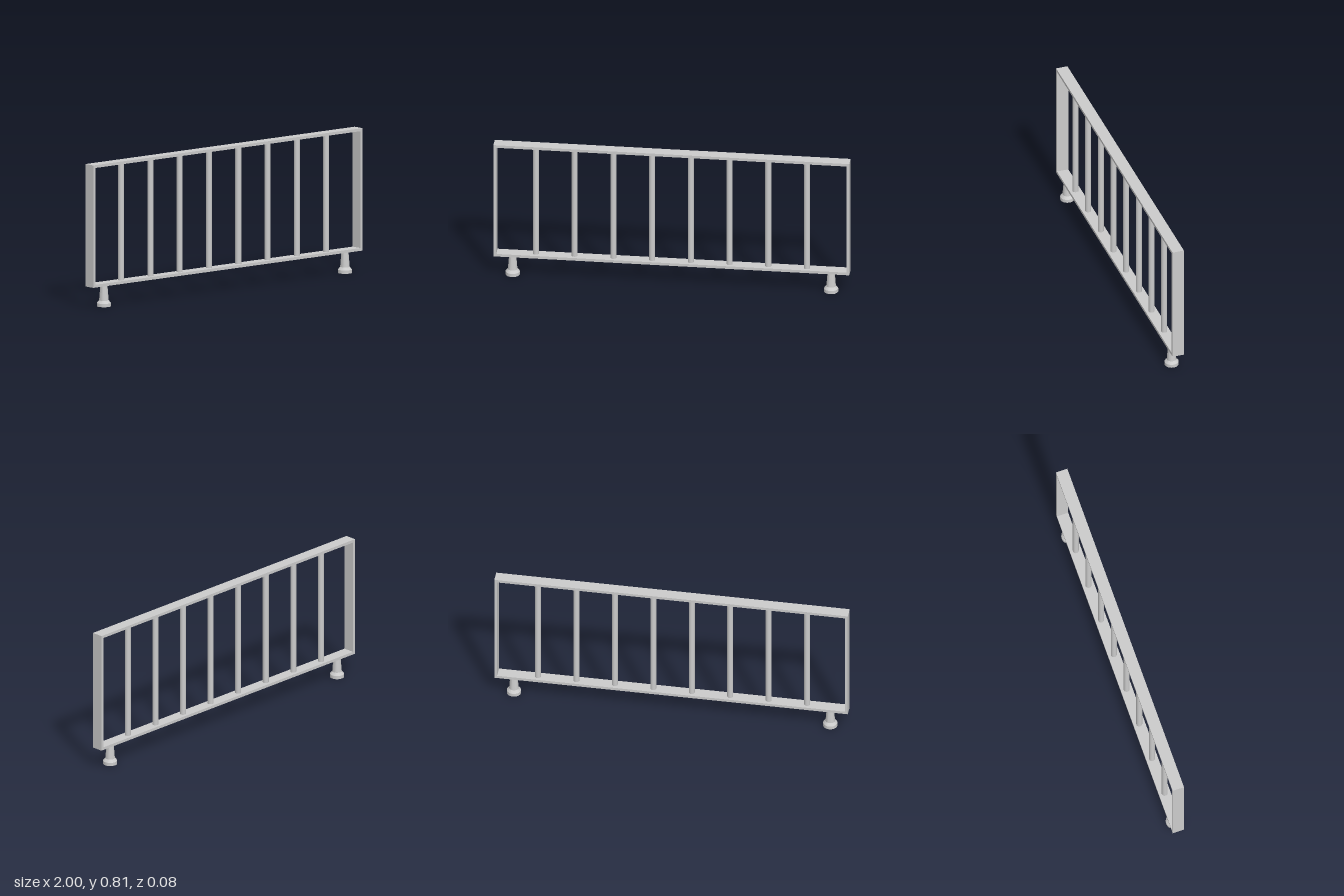
import * as THREE from 'three';
import { toCreasedNormals } from 'three/addons/utils/BufferGeometryUtils.js';

export function createModel() {
  const model = new THREE.Group();
  const grey = new THREE.MeshStandardMaterial({ color: 0xcccccc });

  function add(name, geometry, x, y, z) {
    const mesh = new THREE.Mesh(geometry, grey);
    mesh.name = name;
    mesh.position.set(x, y, z);
    model.add(mesh);
  }

  // Rectangular frame of flat bar, one extruded loop
  const bottom = 0.118, top = 0.81, wall = 0.016, depth = 0.067, midZ = -0.0035;
  const rectangle = (Type, w, y0, y1) => new Type([
    new THREE.Vector2(-w, y0), new THREE.Vector2(w, y0),
    new THREE.Vector2(w, y1), new THREE.Vector2(-w, y1),
  ]);
  const outline = rectangle(THREE.Shape, 1, bottom, top);
  outline.holes.push(rectangle(THREE.Path, 1 - wall, bottom + wall, top - wall));
  add('frame', new THREE.ExtrudeGeometry(outline, { depth, bevelEnabled: false }), 0, 0, midZ - depth / 2);

  // Eight round balusters between the rails
  const count = 8, spacing = 0.2176;
  const baluster = new THREE.CylinderGeometry(0.017, 0.017, top - bottom - 2 * wall, 16, 1, true);
  for (let i = 0; i < count; i++) {
    add('baluster', baluster, (i - (count - 1) / 2) * spacing - 0.003, (top + bottom) / 2, midZ);
  }

  // Tapered feet with a flared base, recessed underneath
  const profile = [
    [0, 0.018], [0.03, 0.018], [0.032, 0], [0.04, 0], [0.04, 0.019],
    [0.027, 0.034], [0.02, bottom + 0.002],
  ].map(([r, y]) => new THREE.Vector2(r, y));
  const foot = toCreasedNormals(new THREE.LatheGeometry(profile, 20), Math.PI / 6);
  for (const side of [-1, 1]) add('foot', foot, side * 0.895, 0, 0);

  return model;
}
